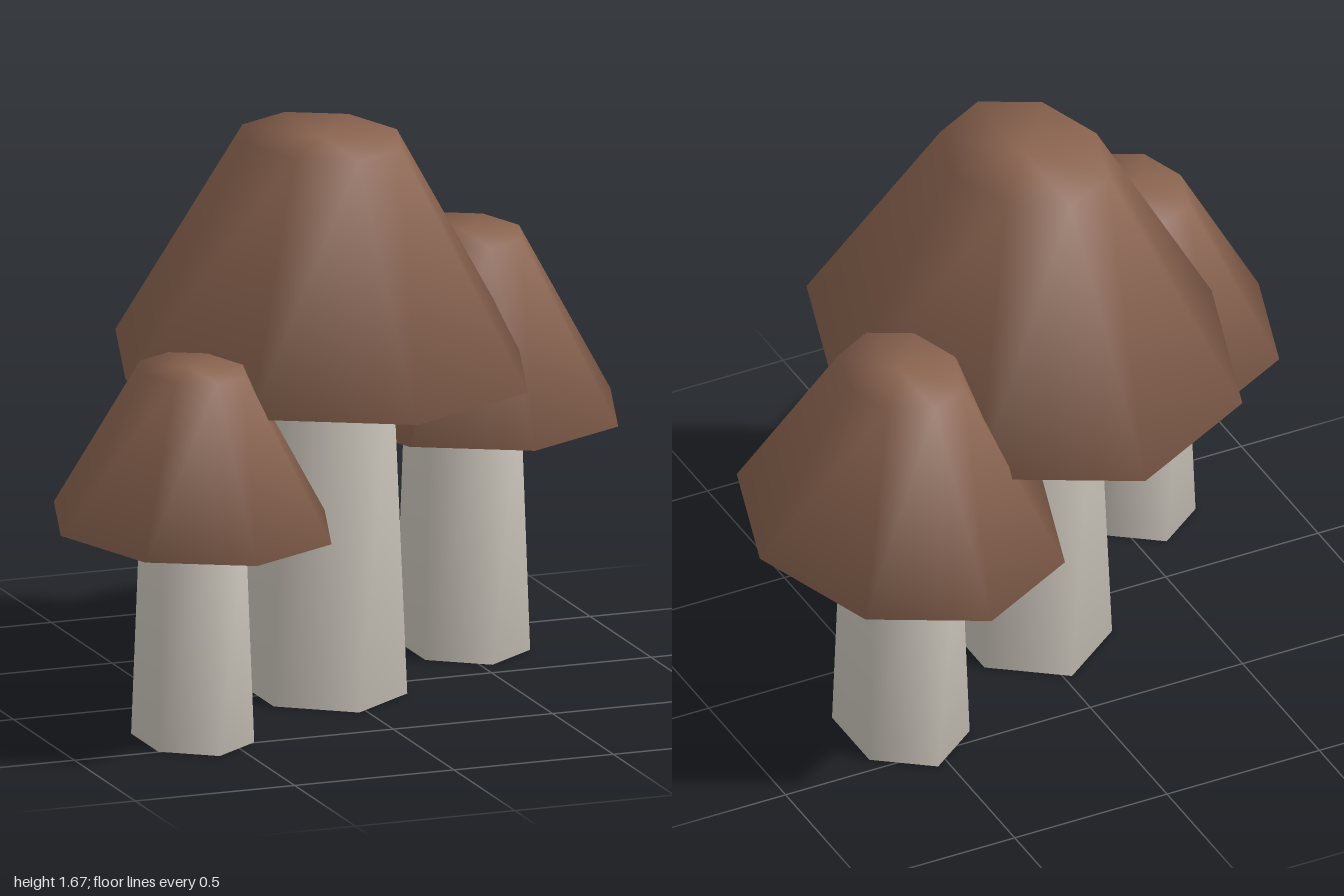
import * as THREE from 'three';
import { mergeVertices } from 'three/addons/utils/BufferGeometryUtils.js';

const capBrown = new THREE.MeshStandardMaterial({ color: 0x8b6450 });
capBrown.name = 'capBrown';
const stemGrey = new THREE.MeshStandardMaterial({ color: 0xc9c3b9 });
stemGrey.name = 'stemGrey';

// Closed tapered prism with an oval plan and normals smoothed over every edge
function taperedPrism(name, material, { sides, top, bottom, y0, y1, depth }) {
  let geo = new THREE.CylinderGeometry(top, bottom, y1 - y0, sides);
  geo.deleteAttribute('uv');
  geo.deleteAttribute('normal');
  geo.scale(1, 1, depth);
  geo.translate(0, (y0 + y1) / 2, 0);
  geo = mergeVertices(geo, 1e-4);
  geo.computeVertexNormals();
  const mesh = new THREE.Mesh(geo, material);
  mesh.name = name;
  return mesh;
}

// Radii are along x; depth stretches them along z
const mushrooms = [
  { name: 'middleMushroom', x: -0.025, z: -0.022, stem: [0.242, 0.201], cap: [0.615, 0.236], y0: 0.99, y1: 1.67 },
  { name: 'leftMushroom', x: 0.535, z: -0.328, stem: [0.19, 0.164], cap: [0.463, 0.176], y0: 0.735, y1: 1.257 },
  { name: 'rightMushroom', x: -0.585, z: 0.385, stem: [0.174, 0.149], cap: [0.414, 0.157], y0: 0.652, y1: 1.12 },
];
const depth = 1.28;

export function createModel() {
  const model = new THREE.Group();
  model.name = 'mushroomCluster';
  for (const m of mushrooms) {
    const group = new THREE.Group();
    group.name = m.name;
    group.position.set(m.x, 0, m.z);
    // Six-sided stem, reaching just inside the cap
    group.add(taperedPrism('stem', stemGrey,
      { sides: 6, bottom: m.stem[0], top: m.stem[1], y0: 0, y1: m.y0 + 0.02, depth }));
    // Eight-sided flat-topped cap
    group.add(taperedPrism('cap', capBrown,
      { sides: 8, bottom: m.cap[0], top: m.cap[1], y0: m.y0, y1: m.y1, depth }));
    model.add(group);
  }
  return model;
}
